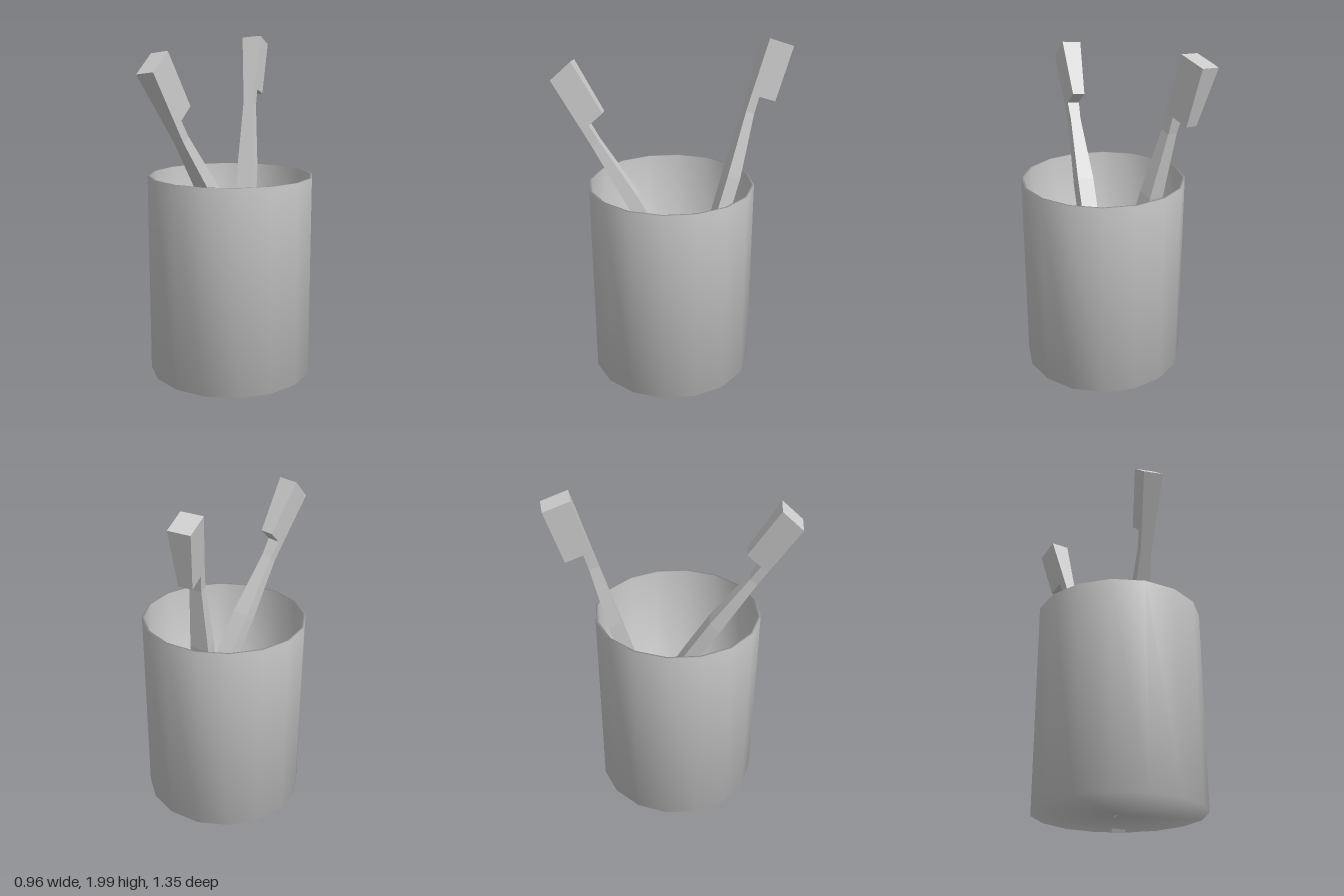
import * as THREE from 'three';

const material = new THREE.MeshStandardMaterial({ color: 0xcccccc, side: THREE.DoubleSide });
const flatMaterial = new THREE.MeshStandardMaterial({ color: 0xcccccc, flatShading: true });

// Brush sections from head tip to handle end: [position, width, thickness].
// The repeated position is the step where the bristles stop.
const SECTIONS = [
  [0, 1, 1],
  [0.16, 0.64, 1],
  [0.16, 0.64, 0.33],
  [0.21, 0.55, 0.34],
  [0.4, 0.87, 0.52],
  [0.55, 0.87, 0.52],
  [1, 0.7, 0.4],
];

// Lofts a four-sided brush along its back, from tip to end.
// side is half the head width, depth points from the back to the bristles.
function makeBrush(name, tip, end, side, depth) {
  const [a, b, w, n] = [tip, end, side, depth].map((v) => new THREE.Vector3(...v));
  const positions = [];
  const index = [];
  for (const [t, width, thick] of SECTIONS) {
    const back = a.clone().lerp(b, t);
    for (const [s, f] of [[-1, 0], [1, 0], [1, 1], [-1, 1]]) {
      const p = back.clone().addScaledVector(w, s * width).addScaledVector(n, f * thick);
      positions.push(p.x, p.y, p.z);
    }
  }
  for (let k = 0; k < SECTIONS.length - 1; k++) {
    for (let i = 0; i < 4; i++) {
      const j = (i + 1) % 4;
      const p = k * 4 + i, q = k * 4 + j;
      index.push(p, p + 4, q + 4, p, q + 4, q);
    }
  }
  // End caps
  const e = (SECTIONS.length - 1) * 4;
  index.push(0, 1, 2, 0, 2, 3, e, e + 2, e + 1, e, e + 3, e + 2);

  const indexed = new THREE.BufferGeometry();
  indexed.setAttribute('position', new THREE.Float32BufferAttribute(positions, 3));
  indexed.setIndex(index);
  const geometry = indexed.toNonIndexed();
  geometry.computeVertexNormals();
  const mesh = new THREE.Mesh(geometry, flatMaterial);
  mesh.name = name;
  return mesh;
}

// Sixteen-sided thin-walled cup with a floor
function makeCup() {
  const profile = [
    [0, 0.03], [0.48, 0.03], [0.48, 1.2], [0.465, 1.2], [0.465, 0.045], [0, 0.045],
  ].map(([x, y]) => new THREE.Vector2(x, y));
  const cup = new THREE.Mesh(new THREE.LatheGeometry(profile, 16), material);
  cup.name = 'cup';
  cup.position.z = 0.045;
  return cup;
}

export function createModel() {
  const model = new THREE.Group();
  model.name = 'toothbrushCup';
  model.add(
    makeCup(),
    makeBrush('backBrush', [-0.04, 1.995, -0.53], [0.04, 0.04, 0.06], [0.06, 0.005, 0.003], [0.01, -0.05, -0.145]),
    makeBrush('frontBrush', [-0.26, 1.79, 0.655], [0.25, 0.01, -0.255], [0.055, 0.006, 0.02], [0.035, 0.105, -0.113]),
  );
  return model;
}
